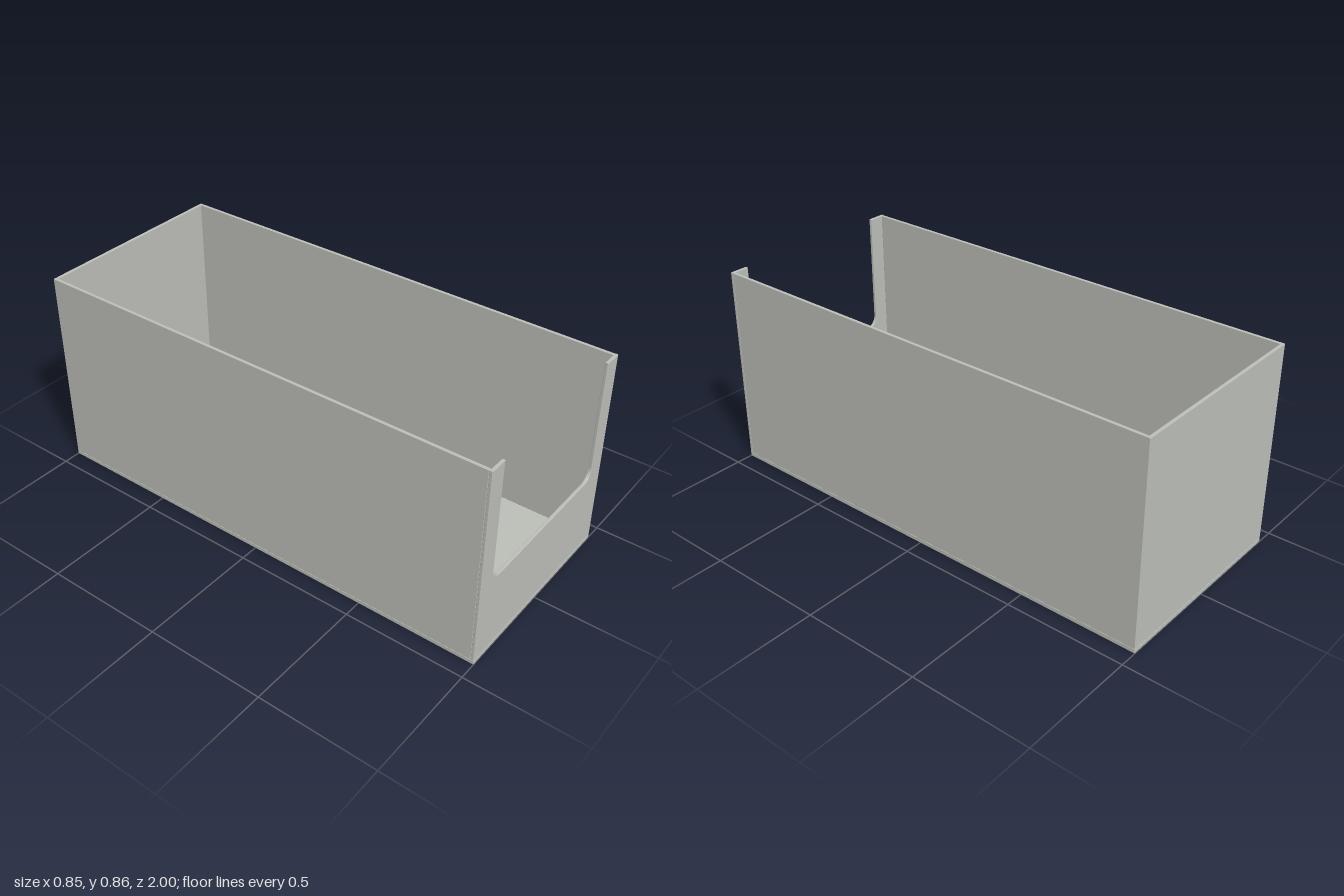
import * as THREE from 'three';
import { RoundedBoxGeometry } from 'three/addons/geometries/RoundedBoxGeometry.js';

const W = 0.854, H = 0.857, L = 2; // overall size
const T = 0.013;                   // wall thickness
const FLOOR = 0.018;               // floor thickness
const EDGE = 0.002;                // softened panel edges

export function createModel() {
  const group = new THREE.Group();
  group.name = 'openBin';
  const grey = new THREE.MeshStandardMaterial({ color: 0xbcbeb8 });
  grey.name = 'warm grey';

  const add = (name, geometry, x, y, z) => {
    const mesh = new THREE.Mesh(geometry, grey);
    mesh.name = name;
    mesh.position.set(x, y, z);
    group.add(mesh);
  };
  const panel = (w, h, d) => new RoundedBoxGeometry(w, h, d, 2, EDGE);

  // Floor slab under all four walls
  add('floor', panel(W, FLOOR, L), 0, FLOOR / 2, 0);

  // Side walls run from the back edge to the front panel
  const wallH = H - FLOOR, wallY = FLOOR + wallH / 2;
  for (const [name, s] of [['leftWall', 1], ['rightWall', -1]]) {
    add(name, panel(T, wallH, L - T), s * (W - T) / 2, wallY, -T / 2);
  }

  // Back wall fits between the sides
  add('backWall', panel(W - 2 * T, wallH, T), 0, wallY, -(L - T) / 2);

  // Front panel with a rounded scoop cut from its top edge
  const hw = W / 2, cut = 0.35, sill = 0.342, r = 0.05;
  const front = new THREE.Shape();
  front.moveTo(-hw, FLOOR);
  front.lineTo(hw, FLOOR);
  front.lineTo(hw, H);
  front.lineTo(cut, H);
  front.lineTo(cut, sill + r);
  front.absarc(cut - r, sill + r, r, 0, -Math.PI / 2, true);
  front.lineTo(-cut + r, sill);
  front.absarc(-cut + r, sill + r, r, -Math.PI / 2, -Math.PI, true);
  front.lineTo(-cut, H);
  front.lineTo(-hw, H);
  front.closePath();
  const frontGeometry = new THREE.ExtrudeGeometry(front, {
    depth: T - 2 * EDGE, curveSegments: 12, bevelEnabled: true,
    bevelSize: EDGE, bevelThickness: EDGE, bevelOffset: -EDGE, bevelSegments: 2,
  });
  add('frontPanel', frontGeometry, 0, 0, L / 2 - T + EDGE);

  return group;
}
